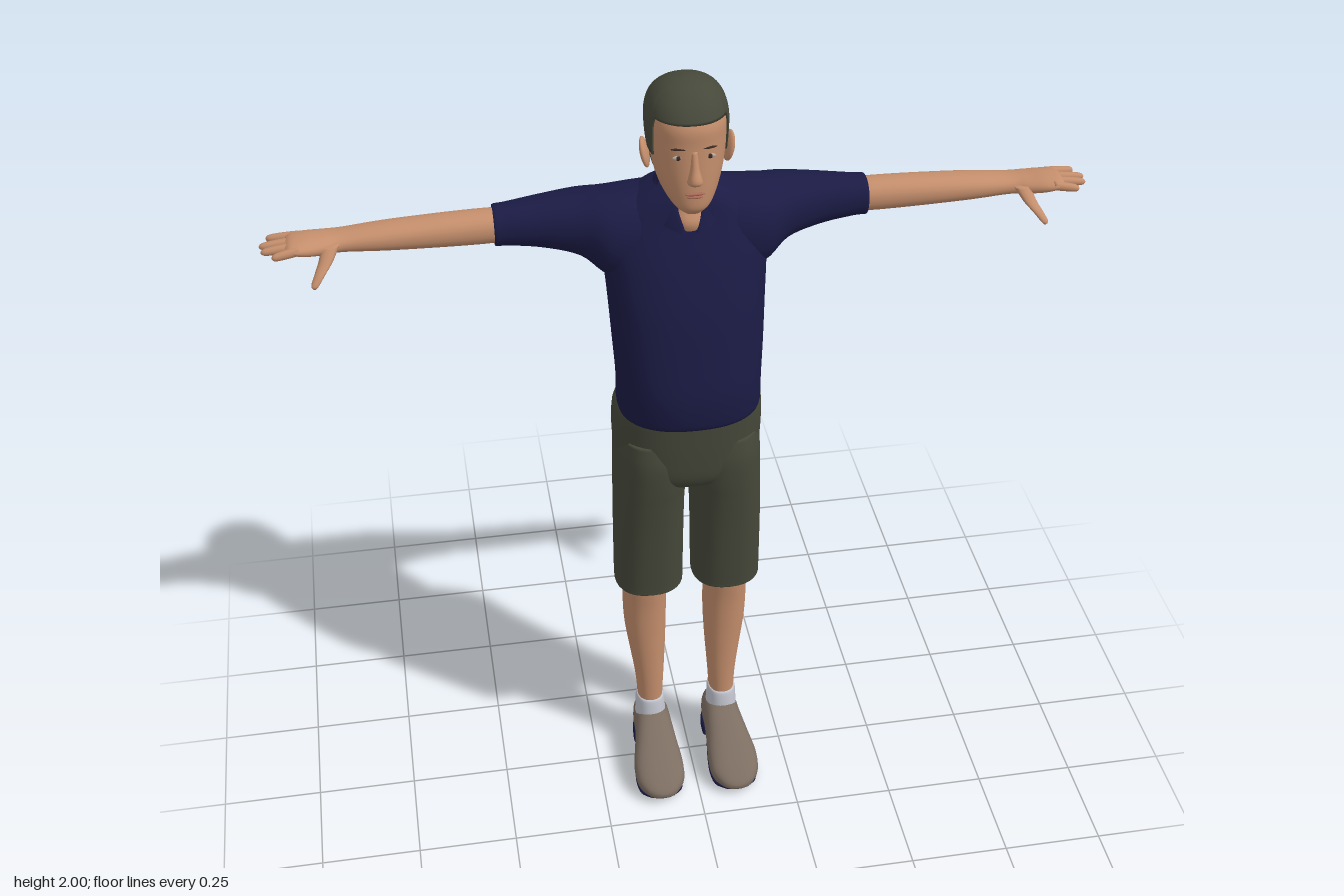
import * as THREE from 'three';

const mat = (name, color, side = THREE.FrontSide) => {
  const m = new THREE.MeshStandardMaterial({ color, side });
  m.name = name;
  return m;
};

// Closed rings of points -> smooth skin, wound so that it faces outward
function skinRings(rings, capped = true) {
  const n = rings[0].length, pos = [], idx = [];
  rings.forEach(r => r.forEach(p => pos.push(...p)));
  for (let i = 0; i < rings.length - 1; i++)
    for (let j = 0; j < n; j++) {
      const a = i * n + j, b = i * n + (j + 1) % n;
      idx.push(a, b, a + n, b, b + n, a + n);
    }
  if (capped) [0, rings.length - 1].forEach((k, end) => {
    const c = pos.length / 3;
    pos.push(...[0, 1, 2].map(d => rings[k].reduce((s, p) => s + p[d], 0) / n));
    for (let j = 0; j < n; j++) {
      const a = k * n + j, b = k * n + (j + 1) % n;
      end ? idx.push(a, b, c) : idx.push(b, a, c);
    }
  });
  // Signed volume about the centroid decides the winding
  const at = i => new THREE.Vector3(pos[i * 3], pos[i * 3 + 1], pos[i * 3 + 2]);
  const mid = new THREE.Vector3(), count = pos.length / 3;
  for (let i = 0; i < count; i++) mid.add(at(i));
  mid.divideScalar(count);
  let vol = 0;
  for (let i = 0; i < idx.length; i += 3) {
    const [a, b, c] = [0, 1, 2].map(k => at(idx[i + k]).sub(mid));
    vol += a.dot(b.cross(c));
  }
  if (vol < 0) idx.reverse();
  const g = new THREE.BufferGeometry();
  g.setAttribute('position', new THREE.Float32BufferAttribute(pos, 3));
  g.setIndex(idx);
  g.computeVertexNormals();
  return g;
}

// Catmull-Rom smoothing of section rows
function smoothRows(rows, steps) {
  const out = [], last = rows.length - 1;
  for (let i = 0; i < last; i++)
    for (let s = 0; s < steps; s++) {
      const t = s / steps, p0 = rows[Math.max(i - 1, 0)], p3 = rows[Math.min(i + 2, last)];
      out.push(rows[i].map((b, k) => {
        const a = p0[k], c = rows[i + 1][k], d = p3[k];
        return b + 0.5 * t * (c - a + t * (2 * a - 5 * b + 4 * c - d + t * (3 * (b - c) + d - a)));
      }));
    }
  out.push(rows[last]);
  return out;
}

const spow = (v, e) => Math.sign(v) * Math.pow(Math.abs(v), e);

// One superellipse ring point; row = [t, aMin, aMax, bMin, bMax]
function sectionPoint([, a0, a1, b0, b1], th, power, grow = 0) {
  return [
    (a0 + a1) / 2 + ((a1 - a0) / 2 + grow) * spow(Math.sin(th), 2 / power),
    (b0 + b1) / 2 + ((b1 - b0) / 2 + grow) * spow(Math.cos(th), 2 / power),
  ];
}

// Loft along an axis: y -> (x, z), x -> (y, z), z -> (x, y); side mirrors x
function loft(rows, { axis = 'y', side = 1, seg = 32, steps = 5, power = 2.2 } = {}) {
  return skinRings(smoothRows(rows, steps).map(r => Array.from({ length: seg }, (_, j) => {
    const [a, b] = sectionPoint(r, j / seg * Math.PI * 2, power), t = r[0];
    const p = axis === 'y' ? [a, t, b] : axis === 'x' ? [t, a, b] : [a, b, t];
    p[0] *= side;
    return p;
  })));
}

// Symmetric row: height, half width, back z, front z
const sym = ([y, w, z0, z1]) => [y, -w, w, z0, z1];

const headRows = smoothRows([
  [1.712, .018, .03, .062], [1.73, .042, -.02, .077], [1.76, .064, -.105, .08],
  [1.80, .077, -.133, .079], [1.84, .084, -.144, .077], [1.88, .088, -.148, .075],
  [1.92, .088, -.146, .073], [1.955, .078, -.125, .053], [1.98, .055, -.092, .025],
  [1.992, .028, -.06, 0], [1.996, .004, -.034, -.026],
].map(sym), 6);

function headAt(y) {
  let i = 0;
  while (i < headRows.length - 2 && headRows[i + 1][0] < y) i++;
  const a = headRows[i], b = headRows[i + 1];
  const t = THREE.MathUtils.clamp((y - a[0]) / (b[0] - a[0]), 0, 1);
  return a.map((v, k) => v + (b[k] - v) * t);
}

function faceZ(x, y) {
  const [, , w, z0, z1] = headAt(y);
  return (z0 + z1) / 2 + (z1 - z0) / 2 * Math.pow(1 - Math.pow(Math.abs(x) / w, 2.2), 1 / 2.2);
}

// Short hair: a shell over the skull whose lower edge follows the hairline
function hairGeometry() {
  const seg = 120, rings = [], { smoothstep } = THREE.MathUtils;
  for (let i = 0; i <= 21; i++) {
    const v = Math.max(i - 1, 0) / 20, grow = i === 0 ? -.006 : .004;
    rings.push(Array.from({ length: seg }, (_, j) => {
      const th = j / seg * Math.PI * 2, a = Math.min(th, Math.PI * 2 - th);
      const line = 1.932 - .092 * smoothstep(a, 1.05, 1.2) - .085 * smoothstep(a, 1.72, 1.98);
      const y = line + (1.996 - line) * Math.sin(v * Math.PI / 2);
      const [x, z] = sectionPoint(headAt(y), th, 2.2, grow);
      return [x, y + .004 * v, z];
    }));
  }
  return skinRings(rings);
}

// Folded collar, open in a V at the front
function collarGeometry() {
  const rings = [], n = 48;
  for (let i = 0; i <= n; i++) {
    const edge = (gap, rx, rz, y0, drop) => {
      const th = gap + (Math.PI * 2 - 2 * gap) * i / n, f = (1 + Math.cos(th)) / 2;
      return [rx * Math.sin(th), y0 - drop * f * f, -.05 + rz * Math.cos(th)];
    };
    rings.push([
      edge(.5, .06, .064, 1.748, .045), edge(.5, .066, .07, 1.75, .045),
      edge(.15, .09, .094, 1.715, .065), edge(.15, .082, .086, 1.711, .065),
    ]);
  }
  return skinRings(rings);
}

export function createModel() {
  const model = new THREE.Group();
  model.name = 'standingBoy';
  const skin = mat('skin', 0xc48e6c), navy = mat('navy cloth', 0x1b1b45);
  const olive = mat('dark olive', 0x46483a), shoe = mat('taupe shoe', 0x7d6e62);
  const sock = mat('pale sock', 0xc4c6d0), lip = mat('lip', 0xa86a58);
  const eyeWhite = mat('eye white', 0xb8a89c), dark = mat('eye dark', 0x3a2a22);
  const add = (name, geometry, material) => {
    const m = new THREE.Mesh(geometry, material);
    m.name = name;
    model.add(m);
    return m;
  };
  const ball = (name, material, p, s) => {
    const m = add(name, new THREE.SphereGeometry(1, 20, 14), material);
    m.position.set(...p);
    m.scale.set(...s);
    return m;
  };

  // Head, neck and face
  const head = skinRings(headRows.map(r => Array.from({ length: 48 }, (_, j) => {
    const [x, z] = sectionPoint(r, j / 48 * Math.PI * 2, 2.2);
    return [x, r[0], z];
  })));
  add('head', head, skin);
  add('hair', hairGeometry(), olive);
  add('neck', loft([[1.60, .04, -.09, 0], [1.66, .046, -.1, .034], [1.70, .052, -.105, .021],
    [1.74, .053, -.106, .012], [1.80, .05, -.1, 0]].map(sym)), skin);
  add('nose', loft([[1.792, .008, .065, .084], [1.80, .017, .06, .098], [1.812, .015, .06, .1],
    [1.835, .010, .06, .09], [1.872, .007, .06, .078]].map(sym), { seg: 20 }), skin);
  ball('upperLip', lip, [0, 1.772, faceZ(0, 1.772)], [.023, .004, .005]);
  ball('lowerLip', lip, [0, 1.765, faceZ(0, 1.765)], [.018, .004, .006]);

  // Shirt body and collar
  add('shirtBody', loft([
    [1.158, .155, -.14, .105], [1.16, .167, -.151, .117], [1.18, .172, -.154, .125],
    [1.25, .172, -.153, .13], [1.34, .177, -.16, .118], [1.45, .183, -.178, .098],
    [1.54, .189, -.187, .072], [1.60, .19, -.188, .05], [1.66, .17, -.176, .026],
    [1.70, .125, -.155, .015], [1.725, .085, -.138, .006], [1.74, .055, -.11, -.005],
  ].map(sym), { seg: 48, power: 2.35 }), navy);
  add('collar', collarGeometry(), navy);

  // Seat of the shorts
  add('shortsSeat', loft([
    [.935, .07, -.12, .03], [.955, .135, -.155, .065], [.99, .174, -.177, .085],
    [1.05, .18, -.187, .093], [1.12, .181, -.178, .098], [1.165, .176, -.157, .1],
    [1.185, .16, -.14, .095],
  ].map(sym), { seg: 48, power: 2.4 }), olive);

  for (const side of [1, -1]) {
    const tag = side > 0 ? 'left' : 'right';
    const part = (name, rows, material, opts) => add(tag + name, loft(rows, { side, ...opts }), material);

    // Eyes, brows and ears
    const ex = .035 * side, ez = faceZ(.035, 1.857);
    ball(tag + 'Eye', eyeWhite, [ex, 1.857, ez - .001], [.013, .0055, .004]);
    ball(tag + 'Iris', dark, [ex, 1.857, ez + .001], [.0055, .0055, .003]);
    ball(tag + 'Brow', dark, [ex, 1.877, faceZ(.035, 1.877)], [.017, .0025, .003]).rotation.y = .25 * side;
    const ear = ball(tag + 'Ear', skin, [.094 * side, 1.826, -.03], [.009, .036, .023]);
    ear.rotation.set(-.12, .35 * side, -.18 * side);

    // Sleeve
    part('Sleeve', [
      [.02, 1.50, 1.722, -.175, .0], [.10, 1.49, 1.716, -.186, .02], [.18, 1.505, 1.706, -.188, .015],
      [.24, 1.55, 1.699, -.183, -.02], [.32, 1.572, 1.69, -.168, -.044], [.40, 1.584, 1.681, -.153, -.055],
      [.428, 1.585, 1.679, -.15, -.056], [.431, 1.591, 1.673, -.144, -.062], [.424, 1.60, 1.665, -.135, -.07],
    ], navy, { axis: 'x', power: 2.2 });

    // Bare arm running into the palm
    part('Arm', [
      [.40, 1.595, 1.67, -.143, -.063], [.46, 1.594, 1.671, -.144, -.06], [.56, 1.597, 1.669, -.142, -.058],
      [.68, 1.602, 1.663, -.14, -.058], [.77, 1.609, 1.655, -.135, -.06], [.81, 1.613, 1.656, -.133, -.046],
      [.85, 1.622, 1.66, -.125, -.03], [.88, 1.632, 1.659, -.118, -.027], [.893, 1.637, 1.653, -.108, -.038],
    ], skin, { axis: 'x' });

    // Fingers: base z, tip z, tip x
    [[-.107, -.118, .938], [-.084, -.084, .953], [-.061, -.058, .949], [-.039, -.030, .925]]
      .forEach(([z0, z1, tip], i) => {
        const row = (t, r) => {
          const x = .865 + (tip - .865) * t, y = 1.646 - .008 * t, z = z0 + (z1 - z0) * t;
          return [x, y - r, y + r, z - r, z + r];
        };
        part('Finger' + (i + 1), [row(0, .0105), row(.4, .0105), row(.8, .009), row(.95, .006), row(1, .001)],
          skin, { axis: 'x', seg: 12, steps: 3 });
      });
    part('Thumb', [
      [1.642, .775, .815, -.085, -.045], [1.615, .793, .825, -.055, -.022], [1.595, .813, .837, -.027, -.003],
      [1.578, .828, .846, -.008, .008], [1.57, .836, .842, .001, .006],
    ], skin, { seg: 14 });

    // Shorts leg with a turned-in hem
    part('ShortsLeg', [
      [.625, .03, .168, -.115, .03], [.607, .02, .178, -.122, .038], [.603, .013, .185, -.13, .045],
      [.63, .012, .186, -.131, .047], [.80, .01, .185, -.14, .063], [.90, .007, .183, -.156, .075],
      [.96, .002, .181, -.171, .083], [1.03, .003, .179, -.182, .088], [1.09, .02, .17, -.17, .08],
    ], olive, { power: 2.35 });

    // Bare leg
    part('Leg', [
      [.10, .066, .13, -.098, -.018], [.18, .064, .131, -.1, -.018], [.25, .06, .136, -.108, -.017],
      [.33, .055, .147, -.125, -.016], [.42, .051, .159, -.139, -.014], [.50, .05, .162, -.138, -.01],
      [.58, .052, .161, -.131, -.001], [.68, .05, .162, -.13, .005],
    ], skin);

    // Sock
    part('Sock', [
      [.09, .055, .139, -.104, -.006], [.13, .058, .137, -.104, -.008], [.168, .06, .135, -.103, -.013],
      [.176, .063, .132, -.1, -.017],
    ], sock);

    // Shoe upper
    part('Shoe', [
      [-.116, .075, .115, .04, .10], [-.11, .058, .133, .022, .117], [-.075, .047, .142, .018, .128],
      [-.015, .045, .145, .02, .134], [.04, .041, .154, .014, .119], [.10, .035, .165, .007, .097],
      [.15, .038, .162, .008, .075], [.182, .058, .143, .014, .055], [.195, .075, .125, .02, .044],
      [.2, .093, .107, .028, .036],
    ], shoe, { axis: 'z', power: 2.5 });

    // Sole and heel
    part('Sole', [
      [-.05, .055, .135, .014, .036], [.02, .046, .149, .004, .026], [.06, .041, .157, 0, .018],
      [.11, .038, .162, 0, .015], [.155, .045, .155, .003, .016], [.182, .07, .13, .01, .02],
    ], navy, { axis: 'z', power: 4 });
    part('Heel', [
      [-.117, .072, .118, 0, .034], [-.11, .056, .134, 0, .036], [-.08, .046, .143, 0, .037],
      [-.04, .045, .145, 0, .037], [-.034, .05, .14, .003, .035],
    ], navy, { axis: 'z', power: 5 });
  }
  return model;
}
